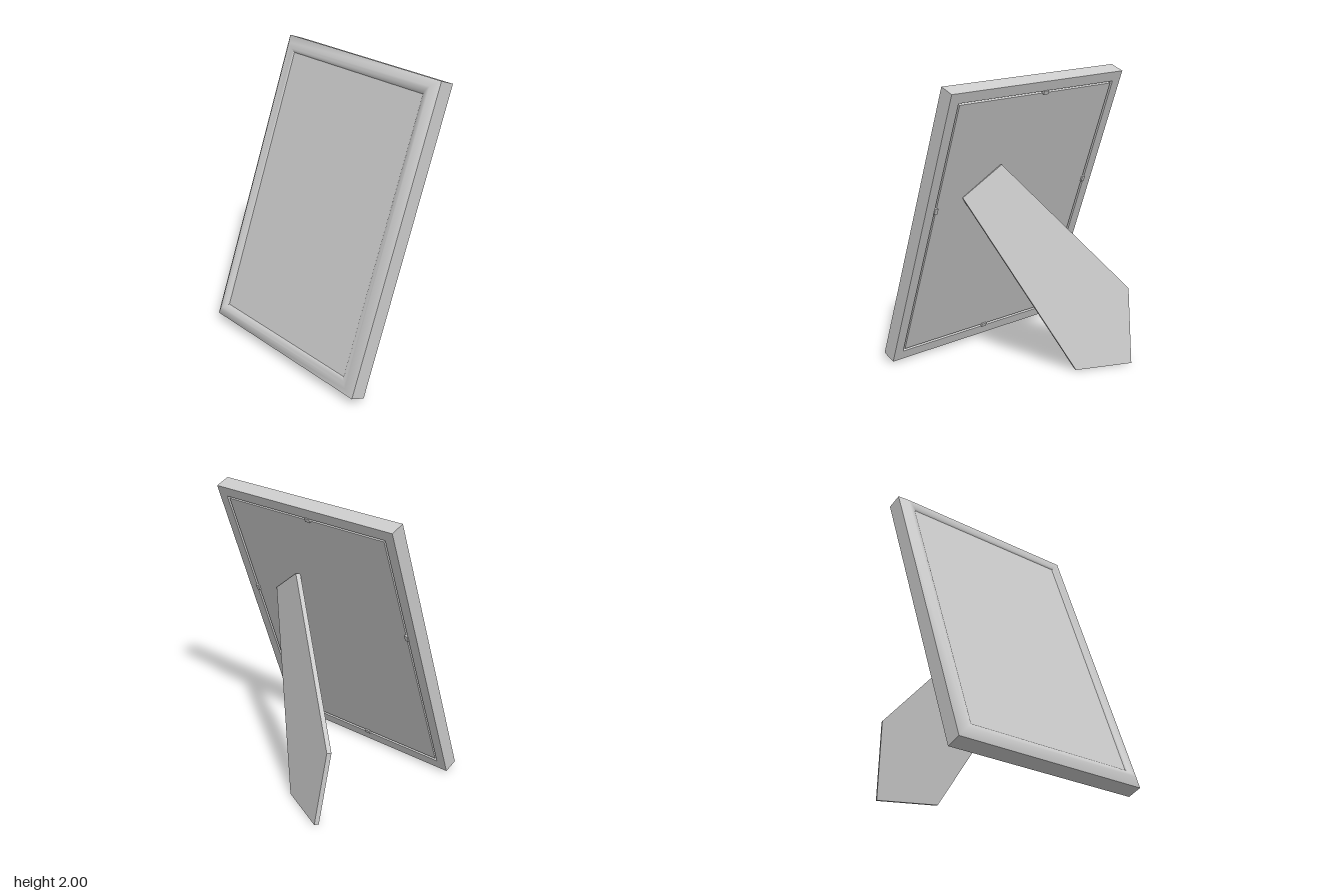
import * as THREE from 'three';
import { toCreasedNormals } from 'three/addons/utils/BufferGeometryUtils.js';

const W = 1.49, H = 2.073; // outer size of the frame
const V = (x, y, z) => new THREE.Vector3(x, y, z);
const material = new THREE.MeshStandardMaterial({ color: 0xcccccc });

function add(parent, name, geometry, x = 0, y = 0, z = 0) {
  const mesh = new THREE.Mesh(geometry, material);
  mesh.name = name;
  mesh.position.set(x, y, z);
  parent.add(mesh);
  return mesh;
}

// Sweeps a profile of [inset, depth] points round a rectangle with mitred corners
function mitredRing(profile) {
  const pos = [], index = [], n = profile.length;
  for (const [sx, top] of [[-1, 0], [1, 0], [1, 1], [-1, 1]]) {
    for (const [inset, depth] of profile) {
      pos.push(sx * (W / 2 - inset), top ? H - inset : inset, depth);
    }
  }
  for (let c = 0; c < 4; c++) {
    for (let i = 0; i < n - 1; i++) {
      const a = c * n + i, b = ((c + 1) % 4) * n + i;
      index.push(a, b, b + 1, a, b + 1, a + 1);
    }
  }
  const g = new THREE.BufferGeometry();
  g.setAttribute('position', new THREE.Float32BufferAttribute(pos, 3));
  g.setIndex(index);
  return toCreasedNormals(g, 0.88);
}

// A box set in from the frame's outline, between two depths
function addPanel(parent, name, inset, back, front) {
  const g = new THREE.BoxGeometry(W - 2 * inset, H - 2 * inset, front - back);
  add(parent, name, g, 0, H / 2, (back + front) / 2);
}

// Tilted frame; local y runs up the frame and local z points out of its face
function buildFrame() {
  const frame = new THREE.Group();
  frame.name = 'pictureFrame';
  add(frame, 'moulding', mitredRing([
    [0.07, 0.04], [0.07, 0], [0, 0], [0, 0.106], [0.05, 0.142],
    [0.068, 0.141], [0.085, 0.135], [0.1, 0.126], [0.11, 0.116],
  ]));
  addPanel(frame, 'picturePanel', 0.1, 0.06, 0.119);
  addPanel(frame, 'recessFloor', 0.06, 0.025, 0.06);
  addPanel(frame, 'backingBoard', 0.085, 0.003, 0.03);

  // Small retaining tabs in the middle of each back edge
  const sideX = W / 2 - 0.08, tabY = 1.225;
  for (const [x, y, turn] of [
    [-sideX, tabY, 0], [sideX, tabY, 0],
    [-0.05, 0.08, Math.PI / 2], [-0.05, H - 0.08, Math.PI / 2],
  ]) {
    const tab = add(frame, 'retainingTab', new THREE.BoxGeometry(0.026, 0.04, 0.03), x, y, 0.007);
    tab.rotation.z = turn;
  }

  const tilt = THREE.MathUtils.degToRad(19.9);
  const up = V(Math.sin(tilt), Math.cos(tilt), 0);
  const out = V(-Math.cos(tilt), Math.sin(tilt), 0);
  frame.quaternion.setFromRotationMatrix(new THREE.Matrix4().makeBasis(V(0, 0, 1), up, out));
  frame.position.set(-0.495, 0.015, 0);
  return frame;
}

// Five-sided board that props the frame up, extruded inwards from its outer face
function buildStand() {
  const corners = [
    V(0.44, 0.006, -0.11), V(0.61, 0.006, -0.48), V(0.53, 0.525, -0.518),
    V(0.025, 1.42, 0.195), V(-0.055, 1.225, 0.46),
  ];
  const origin = corners[0], thickness = 0.033;
  const xAxis = corners[1].clone().sub(origin).normalize();
  const normal = xAxis.clone().cross(corners[2].clone().sub(origin)).normalize();
  const yAxis = normal.clone().cross(xAxis);
  const outline = corners.map((p) => {
    const d = p.clone().sub(origin);
    return new THREE.Vector2(d.dot(xAxis), d.dot(yAxis));
  });
  const g = new THREE.ExtrudeGeometry(new THREE.Shape(outline), { depth: thickness, bevelEnabled: false });
  g.translate(0, 0, -thickness);
  g.applyMatrix4(new THREE.Matrix4().makeBasis(xAxis, yAxis, normal).setPosition(origin));
  return g;
}

export function createModel() {
  const model = new THREE.Group();
  model.name = 'standingPictureFrame';
  model.add(buildFrame());
  add(model, 'stand', buildStand());
  return model;
}
